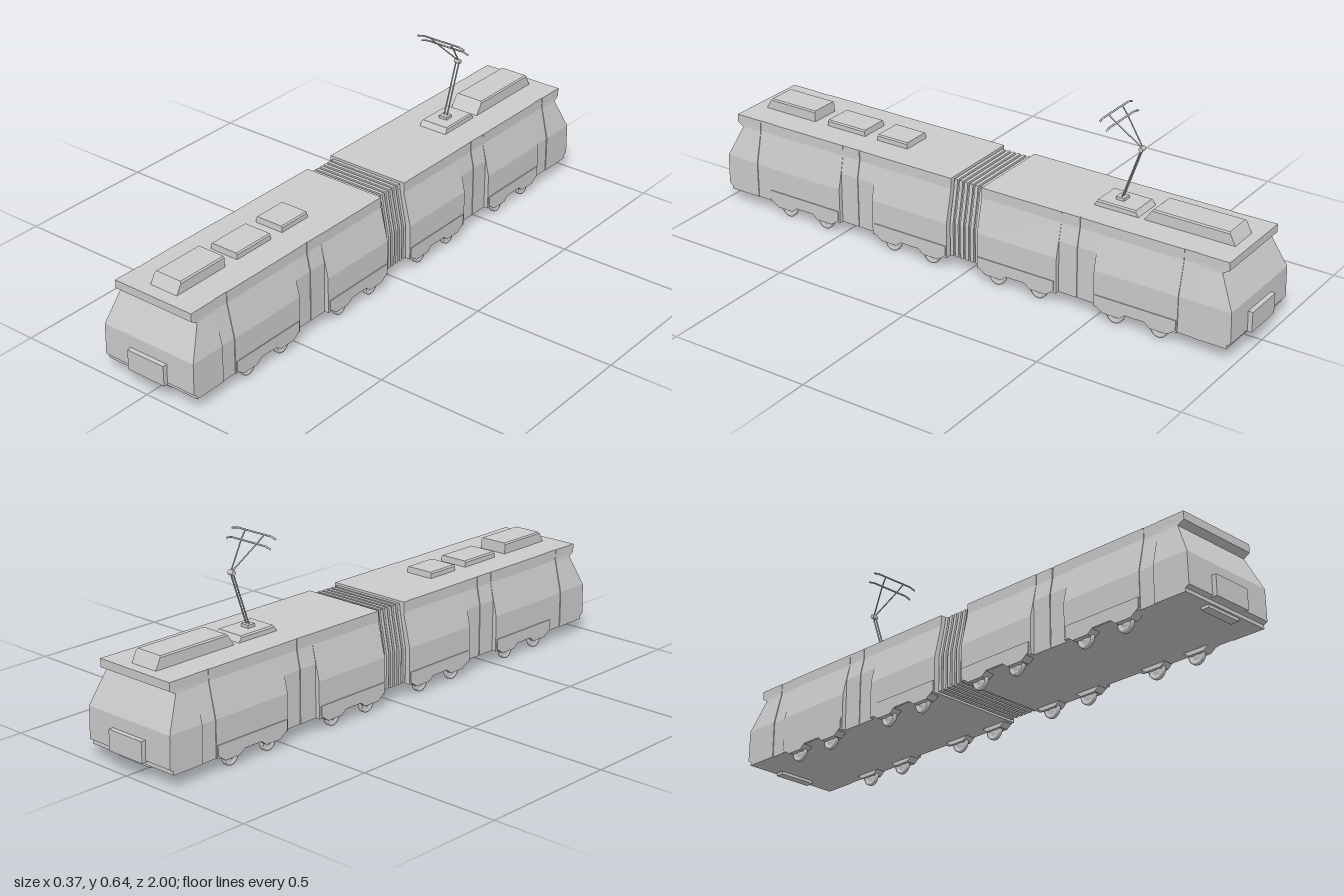
import * as THREE from 'three';

const material = new THREE.MeshStandardMaterial({ color: 0xcccccc, flatShading: true });
const smooth = new THREE.MeshStandardMaterial({ color: 0xcccccc });

function add(parent, name, geometry, x = 0, y = 0, z = 0, mat = material) {
  const mesh = new THREE.Mesh(geometry, mat);
  mesh.name = name;
  mesh.position.set(x, y, z);
  parent.add(mesh);
  return mesh;
}

// Closed solid from stacked rectangular rings: [y, halfWidth, zBack, zFront]
function loft(rings) {
  const points = [], index = [];
  for (const [y, w, b, f] of rings) points.push(w, y, f, w, y, b, -w, y, b, -w, y, f);
  for (let r = 0; r < rings.length - 1; r++) {
    for (let i = 0; i < 4; i++) {
      const a = r * 4 + i, b = r * 4 + (i + 1) % 4;
      index.push(a, b, b + 4, a, b + 4, a + 4);
    }
  }
  const t = (rings.length - 1) * 4;
  index.push(0, 2, 1, 0, 3, 2, t, t + 1, t + 2, t, t + 2, t + 3);
  const g = new THREE.BufferGeometry();
  g.setAttribute('position', new THREE.Float32BufferAttribute(points, 3));
  g.setIndex(index);
  const flat = g.toNonIndexed();
  flat.computeVertexNormals();
  return flat;
}

// Constant section between two z positions, from [y, halfWidth] pairs
const section = (profile, z0, z1) => loft(profile.map(([y, w]) => [y, w, z0, z1]));

function rod(parent, name, a, b, radius) {
  const path = new THREE.LineCurve3(new THREE.Vector3(...a), new THREE.Vector3(...b));
  return add(parent, name, new THREE.TubeGeometry(path, 1, radius, 8), 0, 0, 0, smooth);
}

const WALL = [[0.045, 0.18], [0.17, 0.18], [0.285, 0.153], [0.322, 0.153]];
const inset = (d) => WALL.map(([y, w], i) => [y, i < 2 ? w - d : w - d * 0.6]);
const DOOR = [[0.045, 0.165], [0.225, 0.165], [0.285, 0.152], [0.322, 0.152]];

// Bogie cover outline in (z, y), dropping around each wheel
function coverGeometry() {
  const half = [[0.145, 0.087], [0.145, 0.052], [0.115, 0.031], [0.055, 0.031], [0.035, 0.047]];
  const outline = [...half, ...half.map(([z, y]) => [-z, y]).reverse()];
  const shape = new THREE.Shape(outline.map(([z, y]) => new THREE.Vector2(z, y)));
  const g = new THREE.ExtrudeGeometry(shape, { depth: 0.035, bevelEnabled: false });
  return g.rotateY(-Math.PI / 2).translate(0.0175, 0, 0);
}

// Wheel profile with a raised tyre and hub
function wheelGeometry() {
  const profile = [[0, -0.006], [0.01, -0.006], [0.012, -0.003], [0.021, -0.003], [0.023, -0.006],
    [0.03, -0.006], [0.03, 0.006], [0.023, 0.006], [0.021, 0.003], [0.012, 0.003], [0.01, 0.006], [0, 0.006]];
  return new THREE.LatheGeometry(profile.map(([r, y]) => new THREE.Vector2(r, y)), 24).rotateZ(-Math.PI / 2);
}

// One car, with its cab facing +z
function createCar() {
  const car = new THREE.Group();
  add(car, 'innerBody', section(WALL, 0.06, 0.362));
  add(car, 'doorCore', section(DOOR.map(([y, w]) => [y, w - 0.003]), 0.36, 0.502));
  add(car, 'doorLeaf', section(DOOR, 0.362, 0.429));
  add(car, 'doorLeaf', section(DOOR, 0.432, 0.5));
  add(car, 'outerBody', section(WALL, 0.5, 0.8));
  add(car, 'cabDoor', section(inset(0.003), 0.8, 0.855));

  // Cab with raked windscreen, roof lip and undercut bumper line
  add(car, 'cab', loft([
    [0.045, 0.18, 0.855, 0.972], [0.057, 0.18, 0.855, 0.972], [0.065, 0.18, 0.855, 0.985],
    [0.172, 0.18, 0.855, 0.983], [0.281, 0.154, 0.855, 0.932], [0.294, 0.153, 0.855, 0.955],
    [0.322, 0.153, 0.855, 0.955],
  ]));
  add(car, 'couplerCover', new THREE.BoxGeometry(0.146, 0.07, 0.03), 0, 0.095, 0.985);
  add(car, 'underPlate', new THREE.BoxGeometry(0.138, 0.014, 0.03), 0, 0.042, 0.95);

  // Bogies
  const cover = coverGeometry(), wheel = wheelGeometry();
  for (const z of [0.209, 0.651]) {
    for (const side of [-1, 1]) {
      add(car, 'bogieCover', cover, side * 0.1655, 0, z);
      for (const dz of [-0.079, 0.079]) add(car, 'wheel', wheel, side * 0.162, 0.03, z + dz, smooth);
    }
  }
  return car;
}

// Roof box with sloped ends and a narrow chamfer along the top
function roofBox(parent, name, z0, z1, top, slope0, slope1) {
  const k = 0.85;
  add(parent, name, loft([
    [0.318, 0.053, z0, z1],
    [top - 0.005, 0.053, z0 + slope0 * k, z1 - slope1 * k],
    [top, 0.049, z0 + slope0, z1 - slope1],
  ]));
}

function createPantograph() {
  const p = new THREE.Group();
  p.name = 'pantograph';
  add(p, 'foot', new THREE.BoxGeometry(0.032, 0.012, 0.03), 0, 0.346, -0.49);
  for (const s of [-1, 1]) {
    rod(p, 'lowerArm', [s * 0.006, 0.345, -0.49], [s * 0.006, 0.53, -0.555], 0.0025);
    rod(p, 'upperArm', [s * 0.002, 0.535, -0.555], [s * 0.034, 0.612, -0.48], 0.0022);
    rod(p, 'upperArm', [s * 0.034, 0.612, -0.48], [s * 0.041, 0.636, -0.456], 0.0022);
  }
  add(p, 'knuckle', new THREE.CylinderGeometry(0.008, 0.008, 0.021, 12).rotateZ(Math.PI / 2), 0, 0.53, -0.555, smooth);
  // Contact strips with drooping ends
  for (const [y, z] of [[0.612, -0.481], [0.638, -0.457]]) {
    const path = new THREE.CurvePath();
    const pts = [[-0.097, y - 0.006], [-0.074, y], [0.074, y], [0.097, y - 0.006]]
      .map(([px, py]) => new THREE.Vector3(px, py, z));
    for (let i = 0; i < 3; i++) path.add(new THREE.LineCurve3(pts[i], pts[i + 1]));
    add(p, 'contactStrip', new THREE.TubeGeometry(path, 40, 0.003, 8), 0, 0, 0, smooth);
  }
  return p;
}

export function createModel() {
  const model = new THREE.Group();
  model.name = 'articulatedTram';

  const front = createCar();
  front.name = 'frontCar';
  const rear = createCar();
  rear.name = 'rearCar';
  rear.rotation.y = Math.PI;
  model.add(front, rear);

  // Bellows between the cars
  const bellows = new THREE.Group();
  bellows.name = 'bellows';
  model.add(bellows);
  const fold = (d) => [[0.05 + d, 0.165 - d], [0.17, 0.165 - d], [0.285, 0.142 - d], [0.316 - d, 0.138 - d]];
  add(bellows, 'bellowsCore', section(fold(0.007), -0.065, 0.065));
  for (let i = 0; i < 6; i++) {
    const z = -0.05 + i * 0.02;
    add(bellows, 'bellowsFold', section(fold(0), z - 0.006, z + 0.006));
  }

  // Roof equipment
  roofBox(model, 'frontRoofUnit', 0.695, 0.91, 0.36, 0.002, 0.025);
  roofBox(model, 'roofBox', 0.483, 0.641, 0.343, 0.002, 0.002);
  roofBox(model, 'roofBox', 0.307, 0.431, 0.343, 0.002, 0.002);
  roofBox(model, 'pantographBase', -0.582, -0.416, 0.342, 0.014, 0.014);
  roofBox(model, 'rearRoofUnit', -0.92, -0.597, 0.364, 0.024, 0.034);
  model.add(createPantograph());
  return model;
}
